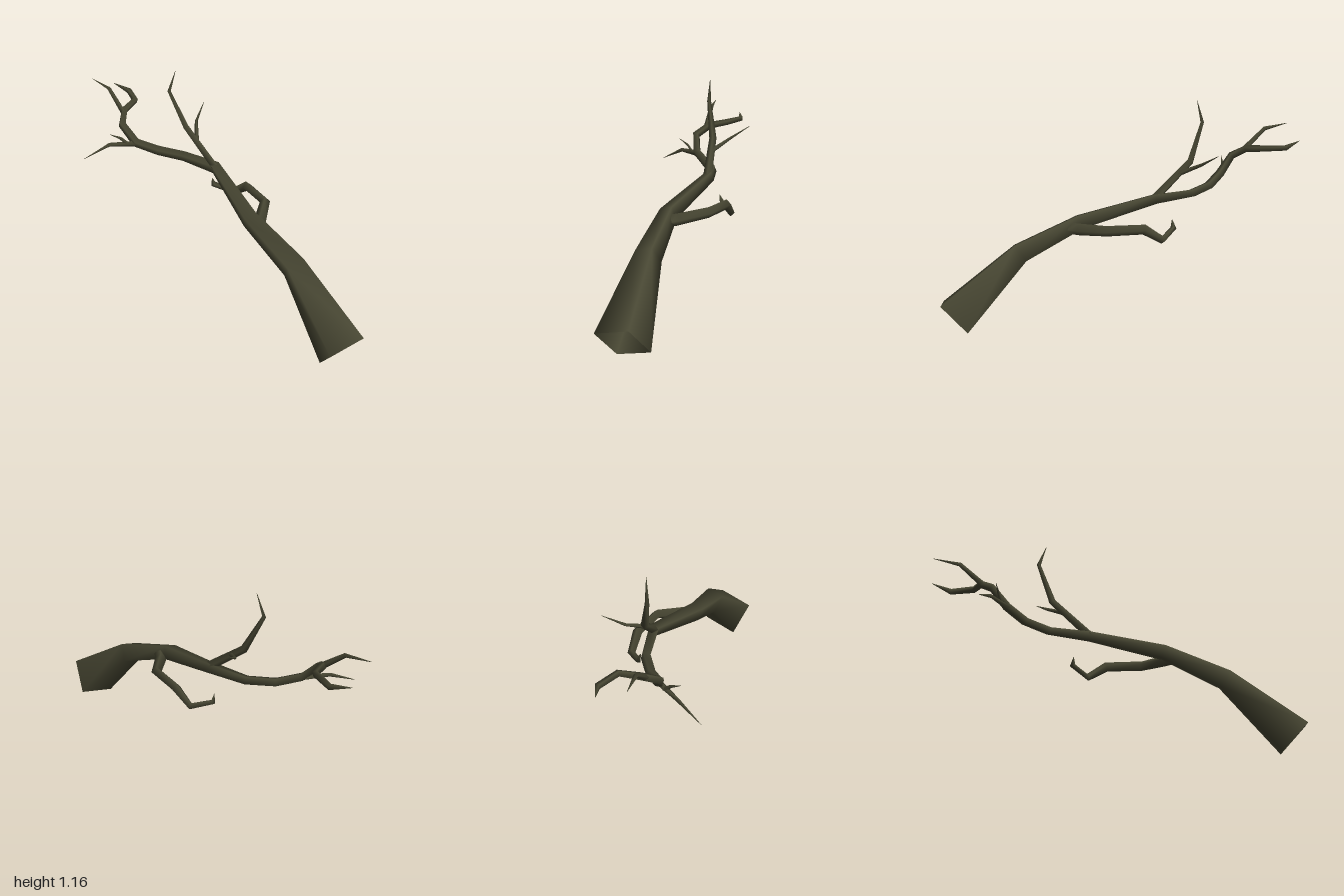
import * as THREE from 'three';

const SIDES = 4;

// Tapered open tube through points [x, y, z, radius]; the roll of the first ring follows "ref".
function limb(name, pts, material, ref = [0, 1, 0]) {
  const p = pts.map(q => new THREE.Vector3(q[0], q[1], q[2]));
  const last = p.length - 1;
  const up = new THREE.Vector3(...ref);
  const pos = [], index = [];
  p.forEach((c, i) => {
    // ring plane halves the bend between the two neighbouring segments
    const t = new THREE.Vector3();
    if (i > 0) t.add(c.clone().sub(p[i - 1]).normalize());
    if (i < last) t.add(p[i + 1].clone().sub(c).normalize());
    t.normalize();
    up.addScaledVector(t, -up.dot(t)).normalize();
    const side = t.clone().cross(up);
    for (let j = 0; j < SIDES; j++) {
      const a = j / SIDES * Math.PI * 2;
      const v = c.clone()
        .addScaledVector(up, Math.cos(a) * pts[i][3])
        .addScaledVector(side, Math.sin(a) * pts[i][3]);
      pos.push(v.x, v.y, v.z);
      if (i < last) {
        const k = i * SIDES, n = (j + 1) % SIDES;
        index.push(k + j, k + n, k + SIDES + j, k + n, k + SIDES + n, k + SIDES + j);
      }
    }
  });
  const g = new THREE.BufferGeometry();
  g.setAttribute('position', new THREE.Float32BufferAttribute(pos, 3));
  g.setIndex(index);
  g.computeVertexNormals();
  const mesh = new THREE.Mesh(g, material);
  mesh.name = name;
  return mesh;
}

export function createModel() {
  const group = new THREE.Group();
  group.name = 'deadBranch';
  const bark = new THREE.MeshStandardMaterial({ color: 0x484733, side: THREE.DoubleSide });
  bark.name = 'darkOliveBark';

  // Main stem, hollow at the thick end, curling round to a thin tip
  group.add(limb('mainStem', [
    [-0.172, 0.118, 0.897, 0.138], [-0.115, 0.433, 0.55, 0.07], [-0.07, 0.568, 0.23, 0.05],
    [0.087, 0.686, -0.135, 0.034], [0.08, 0.686, -0.36, 0.027], [0.025, 0.697, -0.5, 0.026],
    [-0.04, 0.735, -0.61, 0.025], [-0.056, 0.825, -0.695, 0.023], [0.015, 0.875, -0.745, 0.021],
    [0.12, 0.895, -0.765, 0.018], [0.188, 0.9, -0.88, 0.016], [0.17, 0.925, -0.985, 0.001],
  ], bark, [0.35, 0.7, 0.6]));

  // Hooked branch on the left side
  group.add(limb('hookedBranch', [
    [-0.06, 0.545, 0.29, 0.032], [-0.02, 0.545, 0.255, 0.032], [0.13, 0.567, 0.17, 0.028],
    [0.2, 0.57, -0.01, 0.027], [0.213, 0.502, -0.11, 0.021], [0.153, 0.535, -0.21, 0.016],
    [0.14, 0.578, -0.208, 0.001],
  ], bark));

  // Upright branch and its side twig
  group.add(limb('uprightBranch', [
    [0.082, 0.685, -0.13, 0.024], [0.085, 0.865, -0.345, 0.02],
    [0.052, 1.06, -0.433, 0.011], [0.062, 1.182, -0.393, 0.001],
  ], bark));
  group.add(limb('uprightBranchTwig', [
    [0.085, 0.805, -0.27, 0.014], [0.18, 0.865, -0.355, 0.008], [0.287, 0.932, -0.393, 0.001],
  ], bark));

  // Twigs near the far end
  group.add(limb('lowTwig', [
    [-0.03, 0.73, -0.595, 0.018], [-0.145, 0.73, -0.71, 0.011], [-0.27, 0.664, -0.787, 0.001],
  ], bark));
  group.add(limb('shortTwig', [
    [-0.07, 0.725, -0.64, 0.012], [-0.103, 0.768, -0.665, 0.008], [-0.157, 0.801, -0.69, 0.001],
  ], bark));
  group.add(limb('topTwig', [
    [-0.002, 0.865, -0.735, 0.017], [0.013, 0.975, -0.86, 0.012], [0.022, 0.993, -1, 0.001],
  ], bark));

  return group;
}
